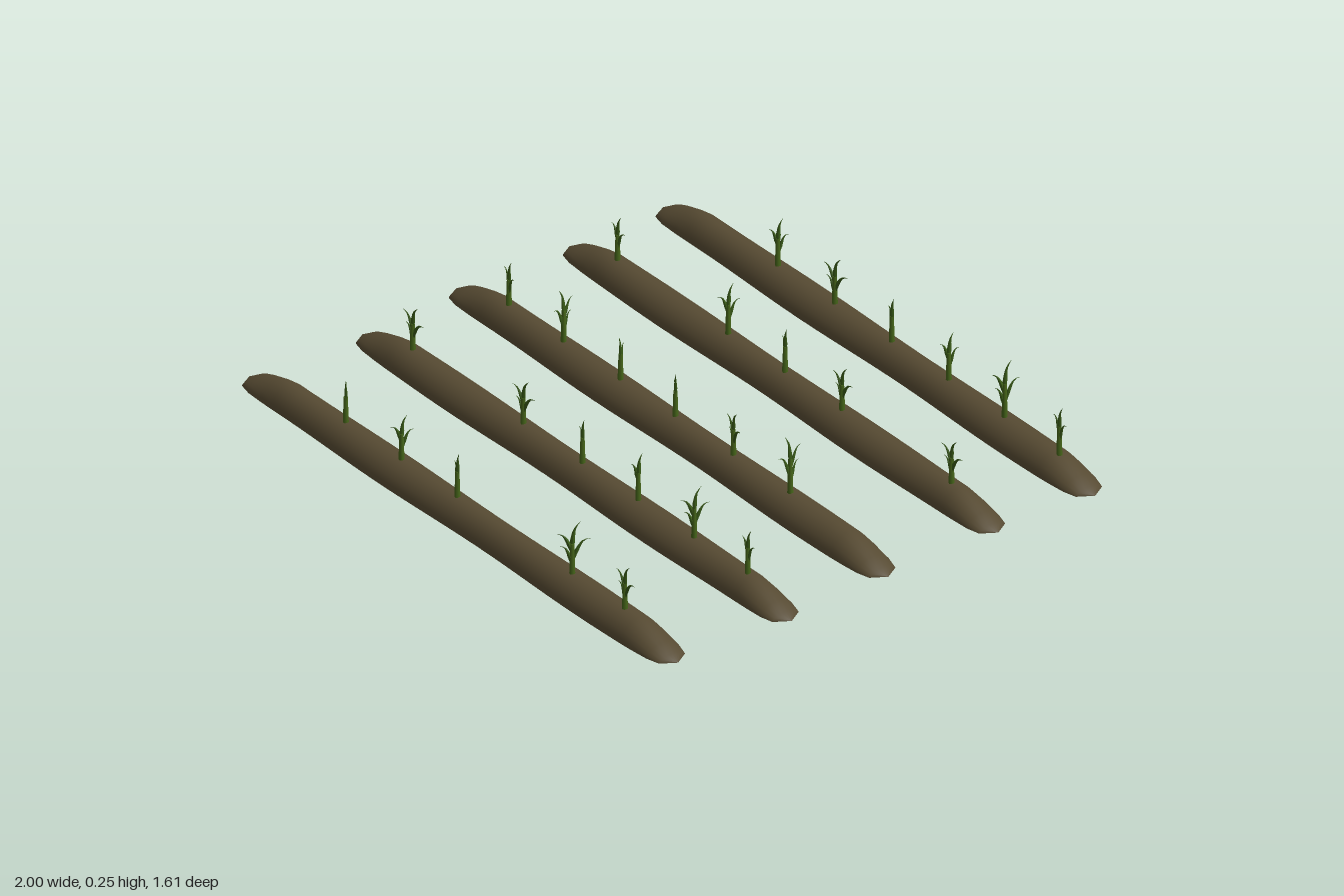
import * as THREE from 'three';

const soil = new THREE.MeshStandardMaterial({ color: 0x564a32, side: THREE.DoubleSide });
soil.name = 'soil brown';
const stalkGreen = new THREE.MeshStandardMaterial({ color: 0x46661a, side: THREE.DoubleSide });
stalkGreen.name = 'stalk green';
const leafGreen = new THREE.MeshStandardMaterial({ color: 0x3a5c18, side: THREE.DoubleSide });
leafGreen.name = 'leaf green';

const MOUND_HEIGHT = 0.062;

// Open dome-shaped ridge, pinched to a low point at both ends
function moundGeometry(x0, x1, wavePeak) {
  const ends = [[0, 0, 0], [0.028, 0.75, 0.26], [0.07, 0.92, 0.53], [0.13, 0.98, 0.83], [0.18, 1, 1]];
  const rings = ends.map(([d, w, h]) => [x0 + d, w, h]);
  for (let i = 1; i < 24; i++) rings.push([x0 + 0.18 + (x1 - x0 - 0.36) * i / 24, 1, 1]);
  for (const [d, w, h] of [...ends].reverse()) rings.push([x1 - d, w, h]);

  const steps = 10, positions = [], index = [];
  rings.forEach(([x, w, h], i) => {
    const half = (0.064 + 0.004 * Math.cos(7 * (x - wavePeak))) * w;
    for (let j = 0; j <= steps; j++) {
      const a = Math.PI * j / steps;
      const rise = Math.pow(Math.max(0, Math.sin(a)), 1.2);
      positions.push(x, MOUND_HEIGHT * h * rise, half * Math.cos(a));
      if (i < rings.length - 1 && j < steps) {
        const p = i * (steps + 1) + j, q = p + steps + 1;
        index.push(p, q, p + 1, q, q + 1, p + 1);
      }
    }
  });
  const g = new THREE.BufferGeometry();
  g.setAttribute('position', new THREE.Float32BufferAttribute(positions, 3));
  g.setIndex(index);
  g.computeVertexNormals();
  return g;
}

// Tapered, flattened blade swept along a curve
function bladeGeometry(points, radius) {
  const curve = new THREE.CatmullRomCurve3(points.map(p => new THREE.Vector3(...p)));
  const segments = 8, sides = 5;
  const g = new THREE.TubeGeometry(curve, segments, radius, sides, false);
  const pos = g.attributes.position, v = new THREE.Vector3();
  for (let i = 0; i < pos.count; i++) {
    const t = Math.floor(i / (sides + 1)) / segments;
    const c = curve.getPointAt(t);
    const s = t < 0.4 ? 0.65 + 0.875 * t : Math.max(0.03, (1 - t) / 0.6);
    v.fromBufferAttribute(pos, i).sub(c).multiplyScalar(s);
    v.z *= 0.6;
    v.add(c);
    pos.setXYZ(i, v.x, v.y, v.z);
  }
  g.computeVertexNormals();
  return g;
}

function mesh(name, geometry, material) {
  const m = new THREE.Mesh(geometry, material);
  m.name = name;
  return m;
}

// Young shoot: upright stalk, leaning top leaf and arching side leaves in one plane
function makeShoot(h, spread) {
  const shoot = new THREE.Group();
  shoot.name = 'shoot';
  const stalk = new THREE.CylinderGeometry(0.006, 0.009, h * 0.6, 7);
  stalk.translate(0, h * 0.3, 0);
  shoot.add(mesh('stalk', stalk, stalkGreen));
  shoot.add(mesh('topLeaf', bladeGeometry(
    [[0, h * 0.45, 0], [0.001, h * 0.7, 0], [spread * 0.15, h * 0.88, 0.001], [spread * 0.45, h, 0.002]],
    0.0075), leafGreen));
  // side, base height, tip height, reach
  const leaves = [[-1, 0.42, 0.78, 0.9]];
  if (spread > 0.025) leaves.push([1, 0.28, 0.68, 1]);
  if (spread > 0.04) leaves.push([-1, 0.2, 0.55, 0.7]);
  for (const [side, base, top, reach] of leaves) {
    const r = side * spread * reach;
    shoot.add(mesh('sideLeaf', bladeGeometry([
      [0, h * base, 0],
      [r * 0.3, h * (base + (top - base) * 0.6), 0.002 * side],
      [r * 0.65, h * (base + (top - base) * 0.95), 0.003 * side],
      [r, h * top, 0.004 * side],
    ], 0.0065), leafGreen));
  }
  return shoot;
}

export function createModel() {
  const model = new THREE.Group();
  model.name = 'cropRows';

  // Each shoot: x, height above the ridge, half spread, yaw
  const rows = [
    { z: -0.735, x0: -1.0, x1: 0.973, peak: 0.6, shoots: [
      [-0.475, 0.15, 0.03, 1.1], [-0.215, 0.15, 0.052, 0.2], [0.045, 0.14, 0.02, 0.2],
      [0.305, 0.15, 0.03, 1.3], [0.56, 0.18, 0.045, 1.3], [0.81, 0.15, 0.03, 0.2]] },
    { z: -0.4, x0: -0.99, x1: 0.968, peak: 0.4, shoots: [
      [-0.77, 0.14, 0.032, 0.15], [-0.265, 0.16, 0.035, 1.4], [-0.005, 0.14, 0.02, 0.1],
      [0.255, 0.14, 0.048, 0.1], [0.755, 0.14, 0.05, 0.1]] },
    { z: -0.012, x0: -1.0, x1: 0.973, peak: 0.6, shoots: [
      [-0.76, 0.14, 0.032, -0.05], [-0.51, 0.17, 0.042, -1.3], [-0.25, 0.14, 0.025, -0.9],
      [0, 0.14, 0.02, -0.2], [0.265, 0.14, 0.05, -0.15], [0.525, 0.185, 0.045, -1.4]] },
    { z: 0.347, x0: -0.96, x1: 1.0, peak: 0.4, shoots: [
      [-0.73, 0.14, 0.052, 0.05], [-0.225, 0.14, 0.05, 0.15], [0.045, 0.14, 0.02, 0.1],
      [0.3, 0.15, 0.025, 1.1], [0.555, 0.16, 0.045, 1.3], [0.8, 0.14, 0.032, 0.15]] },
    { z: 0.735, x0: -0.97, x1: 0.988, peak: 0.6, shoots: [
      [-0.53, 0.14, 0.02, -0.3], [-0.275, 0.14, 0.035, 1.3], [-0.02, 0.14, 0.02, 0.1],
      [0.505, 0.165, 0.05, 1.1], [0.745, 0.14, 0.05, 0]] },
  ];

  for (const { z, x0, x1, peak, shoots } of rows) {
    const row = new THREE.Group();
    row.name = 'row';
    row.position.z = z;
    row.add(mesh('soilRidge', moundGeometry(x0, x1, peak), soil));
    for (const [x, height, spread, yaw] of shoots) {
      const shoot = makeShoot(height + 0.01, spread);
      shoot.position.set(x, MOUND_HEIGHT - 0.01, 0);
      shoot.rotation.y = yaw;
      row.add(shoot);
    }
    model.add(row);
  }
  return model;
}
